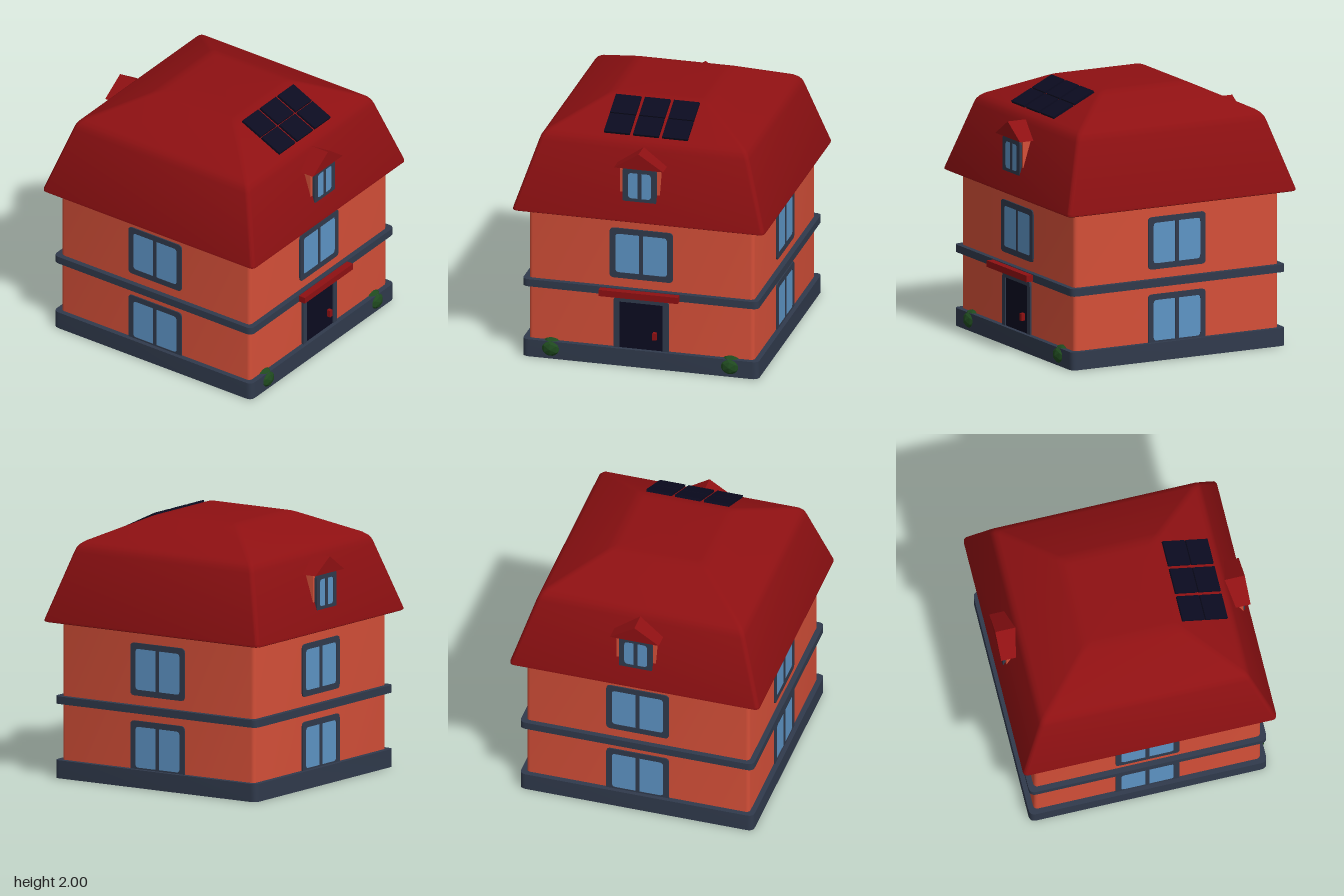
import * as THREE from 'three';
import { toCreasedNormals } from 'three/addons/utils/BufferGeometryUtils.js';

const mat = (name, color) => new THREE.MeshStandardMaterial({ name, color });

export function createModel() {
  const model = new THREE.Group();
  model.name = 'house';
  const brick = mat('brick', 0xd44f38);
  const roofRed = mat('roofRed', 0x8e1012);
  const slate = mat('slate', 0x303a4c);
  const glass = mat('glass', 0x5d94c5);
  const navy = mat('navy', 0x0b0b20);
  const leaf = mat('leaf', 0x1f4a1f);

  const add = (parent, name, geometry, material, x = 0, y = 0, z = 0) => {
    const mesh = new THREE.Mesh(geometry, material);
    mesh.name = name;
    mesh.position.set(x, y, z);
    parent.add(mesh);
    return mesh;
  };
  const box = (w, h, d) => new THREE.BoxGeometry(w, h, d);

  // Rectangle outline with separately chosen left and right corner radii
  const outline = (target, x0, y0, x1, y1, rl, rr = rl) => {
    target.moveTo(x0 + rl, y0);
    target.lineTo(x1 - rr, y0);
    target.quadraticCurveTo(x1, y0, x1, y0 + rr);
    target.lineTo(x1, y1 - rr);
    target.quadraticCurveTo(x1, y1, x1 - rr, y1);
    target.lineTo(x0 + rl, y1);
    target.quadraticCurveTo(x0, y1, x0, y1 - rl);
    target.lineTo(x0, y0 + rl);
    target.quadraticCurveTo(x0, y0, x0 + rl, y0);
    return target;
  };
  const extrude = (shape, depth) => toCreasedNormals(
    new THREE.ExtrudeGeometry(shape, { depth, bevelEnabled: false, curveSegments: 5 }), 0.6);

  // Stack of rounded squares; profile lists [half width, height] upwards
  const squareLoft = (profile, radius) => {
    const pos = [], idx = [], steps = 4, n = 4 * (steps + 1);
    for (const [h, y] of profile) {
      const r = Math.min(radius, h);
      for (let c = 0; c < 4; c++) {
        const mid = Math.PI / 4 + c * Math.PI / 2;
        const cx = Math.sign(Math.cos(mid)) * (h - r), cz = Math.sign(Math.sin(mid)) * (h - r);
        for (let s = 0; s <= steps; s++) {
          const a = (c + s / steps) * Math.PI / 2;
          pos.push(cx + r * Math.cos(a), y, -(cz + r * Math.sin(a)));
        }
      }
    }
    for (let k = 0; k < profile.length - 1; k++) {
      for (let i = 0; i < n; i++) {
        const a = k * n + i, b = k * n + (i + 1) % n;
        idx.push(a, b, b + n, a, b + n, a + n);
      }
    }
    const g = new THREE.BufferGeometry();
    g.setAttribute('position', new THREE.Float32BufferAttribute(pos, 3));
    g.setIndex(idx);
    return toCreasedNormals(g, 0.5);
  };
  const slab = (half, y0, y1, r) =>
    squareLoft([[0.001, y0], [half, y0], [half, y1], [0.001, y1]], r);

  // Walls, plinth and string course
  add(model, 'walls', slab(0.88, 0, 1.25, 0.03), brick);
  for (const [name, y0, y1] of [['plinth', 0.002, 0.14], ['stringCourse', 0.572, 0.63]]) {
    const ring = outline(new THREE.Shape(), -0.922, -0.922, 0.922, 0.922, 0.05);
    ring.holes.push(outline(new THREE.Path(), -0.87, -0.87, 0.87, 0.87, 0.03));
    const g = extrude(ring, y1 - y0);
    g.rotateX(-Math.PI / 2);
    add(model, name, g, slate, 0, y0, 0);
  }

  // Two-slope roof with softened edges
  add(model, 'roof', squareLoft([
    [0.001, 1.2], [0.972, 1.2], [0.983, 1.206], [0.983, 1.222], [0.822, 1.73], [0.81, 1.762],
    [0.791, 1.788], [0.762, 1.81], [0.41, 1.978], [0.38, 1.99], [0.34, 1.998], [0.31, 2], [0.001, 2],
  ], 0.035), roofRed);

  // Window facing +z, centred on x, with its back at z
  const addWindow = (parent, name, w, y0, y1, border, bar, r, z, depth) => {
    const group = new THREE.Group();
    group.name = name;
    const frame = outline(new THREE.Shape(), -w / 2, y0, w / 2, y1, r);
    const inner = w / 2 - border;
    frame.holes.push(
      outline(new THREE.Path(), -inner, y0 + border, -bar, y1 - border, r * 0.8, 0.004),
      outline(new THREE.Path(), bar, y0 + border, inner, y1 - border, 0.004, r * 0.8));
    add(group, 'windowFrame', extrude(frame, depth), slate, 0, 0, z);
    add(group, 'windowGlass', box(2 * inner + 0.02, y1 - y0 - 2 * border + 0.02, 0.008),
      glass, 0, (y0 + y1) / 2, z + depth - 0.008);
    parent.add(group);
  };

  // Four sides: windows everywhere, door below on the front only
  for (let s = 0; s < 4; s++) {
    const side = new THREE.Group();
    side.name = ['frontSide', 'leftSide', 'backSide', 'rightSide'][s];
    side.rotation.y = s * Math.PI / 2;
    addWindow(side, 'upperWindow', 0.494, 0.703, 1.107, 0.045, 0.015, 0.035, 0.872, 0.018);
    if (s > 0) addWindow(side, 'lowerWindow', 0.494, 0.106, 0.51, 0.045, 0.015, 0.035, 0.872, 0.018);

    // Dormers on the front and back slopes
    if (s % 2 === 0) {
      const dormer = new THREE.Group();
      dormer.name = 'dormer';
      add(dormer, 'dormerWalls', box(0.31, 0.26, 0.22), brick, 0, 1.51, 0.81);
      addWindow(dormer, 'dormerWindow', 0.264, 1.34, 1.63, 0.042, 0.015, 0.035, 0.915, 0.025);
      const gable = new THREE.Shape();
      gable.moveTo(-0.192, 1.632);
      gable.lineTo(0.192, 1.632);
      gable.lineTo(0, 1.757);
      add(dormer, 'dormerRoof', extrude(gable, 0.25), roofRed, 0, 0, 0.718);
      side.add(dormer);
    }
    model.add(side);
  }

  // Front door with surround, handle and canopy
  const surround = outline(new THREE.Shape(), -0.215, 0.1, 0.215, 0.556, 0.045);
  surround.holes.push(outline(new THREE.Path(), -0.17, 0.12, 0.17, 0.513, 0.006));
  add(model, 'doorSurround', extrude(surround, 0.025), slate, 0, 0, 0.872);
  add(model, 'door', box(0.35, 0.42, 0.012), navy, 0, 0.31, 0.884);
  add(model, 'doorHandle', box(0.03, 0.056, 0.03), roofRed, 0.11, 0.262, 0.905);
  add(model, 'doorCanopy', box(0.62, 0.05, 0.1), roofRed, 0, 0.6, 0.928);

  // Solar panels on the upper front slope
  const solar = new THREE.Group();
  solar.name = 'solarPanels';
  solar.position.set(0, 1.906, 0.58);
  solar.rotation.x = Math.atan2(0.168, 0.352);
  for (const x of [-0.227, 0, 0.227]) {
    for (const z of [-0.099, 0.099]) add(solar, 'solarPanel', box(0.2, 0.02, 0.188), navy, x, 0, z);
  }
  model.add(solar);

  // Low-poly bushes growing at the plinth
  for (const x of [-0.7, 0.7]) {
    const g = new THREE.IcosahedronGeometry(1, 1);
    g.scale(0.095, 0.083, 0.092);
    g.computeVertexNormals();
    add(model, 'bush', g, leaf, x, 0.082, 0.862);
  }
  return model;
}
